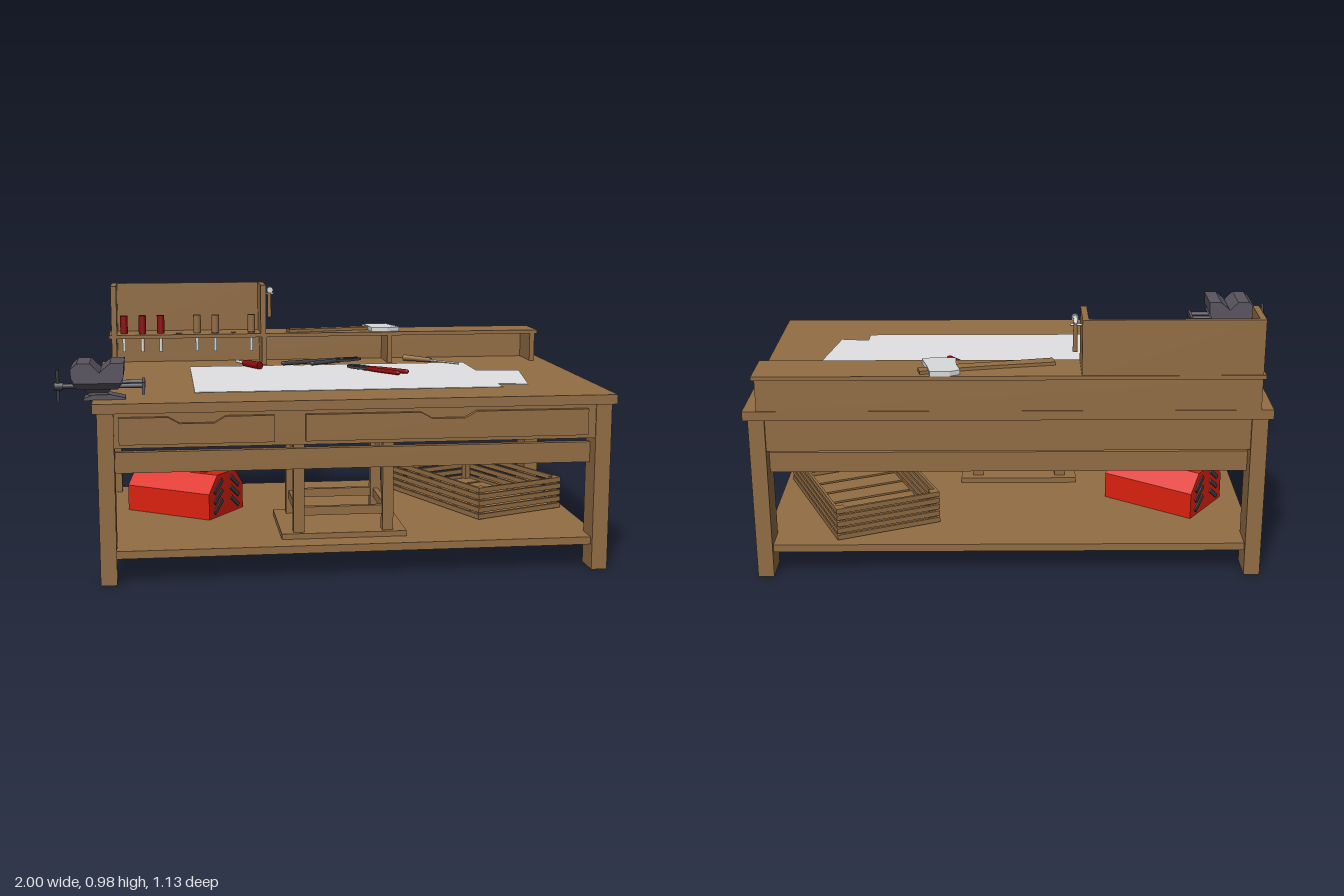
import * as THREE from 'three';

const mat = (name, color) => Object.assign(new THREE.MeshStandardMaterial({ color }), { name });
const wood = mat('wood', 0x926d44);
const red = mat('toolboxRed', 0xdc200e);
const grip = mat('gripRed', 0x8c0a0c);
const paper = mat('paper', 0xe2e2e4);
const steel = mat('steel', 0xd8dbdc);
const iron = mat('viseIron', 0x58545f);
const dark = mat('darkMetal', 0x3f4248);

function add(parent, name, geo, m) {
  const mesh = new THREE.Mesh(geo, m);
  mesh.name = name;
  parent.add(mesh);
  return mesh;
}
// Box given by its limits on each axis
function box(parent, name, m, x0, x1, y0, y1, z0, z1) {
  const mesh = add(parent, name, new THREE.BoxGeometry(x1 - x0, y1 - y0, z1 - z0), m);
  mesh.position.set((x0 + x1) / 2, (y0 + y1) / 2, (z0 + z1) / 2);
  return mesh;
}
// Cylinder from point a to point b
function rod(parent, name, m, a, b, ra, rb = ra, sides = 10) {
  const p = new THREE.Vector3(...a), q = new THREE.Vector3(...b);
  const mesh = add(parent, name, new THREE.CylinderGeometry(rb, ra, p.distanceTo(q), sides), m);
  mesh.position.copy(p).add(q).multiplyScalar(0.5);
  mesh.quaternion.setFromUnitVectors(new THREE.Vector3(0, 1, 0), q.sub(p).normalize());
  return mesh;
}
const extrude = (shape, depth) => new THREE.ExtrudeGeometry(shape, { depth, bevelEnabled: false });
const outline = pts => new THREE.Shape(pts.map(p => new THREE.Vector2(...p)));
// Plate lying flat, outlined by [x, z] points
function plate(parent, name, m, pts, y, h, holes = []) {
  const shape = outline(pts.map(([x, z]) => [x, -z]));
  for (const [x, z, r] of holes) shape.holes.push(new THREE.Path().absarc(x, -z, r, 0, Math.PI * 2, true));
  const mesh = add(parent, name, extrude(shape, h).rotateX(-Math.PI / 2), m);
  mesh.position.y = y;
  return mesh;
}
// Upright profile in [x, y], extruded along z
function profile(parent, name, m, pts, z0, z1) {
  const mesh = add(parent, name, extrude(outline(pts), z1 - z0), m);
  mesh.position.z = z0;
  return mesh;
}
function group(parent, name, x = 0, y = 0, z = 0, ry = 0) {
  const g = new THREE.Group();
  g.name = name;
  g.position.set(x, y, z);
  g.rotation.y = ry;
  parent.add(g);
  return g;
}

function buildTable(root) {
  const g = group(root, 'table');
  box(g, 'tableTop', wood, -0.865, 1, 0.615, 0.65, -0.557, 0.565);
  for (const [x0, x1] of [[-0.85, -0.792], [0.927, 0.985]])
    for (const [z0, z1] of [[-0.54, -0.415], [0.44, 0.55]]) box(g, 'leg', wood, x0, x1, 0, 0.615, z0, z1);
  // aprons near the outside, rails set further in
  for (const [z0, z1] of [[-0.53, -0.5], [0.52, 0.545]]) box(g, 'apron', wood, -0.792, 0.927, 0.49, 0.615, z0, z1);
  for (const [z0, z1] of [[-0.48, -0.45], [0.46, 0.488]]) box(g, 'rail', wood, -0.792, 0.927, 0.39, 0.465, z0, z1);
  for (const x of [-0.84, 0.95]) box(g, 'sideApron', wood, x, x + 0.025, 0.49, 0.615, -0.415, 0.44);
  box(g, 'lowerShelf', wood, -0.83, 0.965, 0.09, 0.118, -0.52, 0.53);
  // drawer fronts with a finger notch in the upper edge
  for (const [x0, x1] of [[-0.775, -0.235], [-0.125, 0.895]]) {
    const c = (x0 + x1) / 2;
    profile(g, 'drawerFront', wood, [[x0, 0.505], [x1, 0.505], [x1, 0.6], [c + 0.1, 0.6],
      [c + 0.06, 0.577], [c - 0.06, 0.577], [c - 0.1, 0.6], [x0, 0.6]], 0.545, 0.565);
  }
}

function buildRack(root) {
  const g = group(root, 'toolRack');
  const slots = Array.from({ length: 8 }, (_, i) => -0.77 + 0.075 * i);
  plate(g, 'rackShelf', wood, [[-0.83, -0.38], [0.96, -0.38], [0.96, -0.562], [-0.83, -0.562]],
    0.765, 0.015, slots.map(x => [x, -0.435, 0.012]));
  box(g, 'lowerBack', wood, -0.82, 0.95, 0.65, 0.765, -0.555, -0.54);
  for (const x of [-0.82, -0.205, 0.32, 0.93]) box(g, 'divider', wood, x, x + 0.02, 0.65, 0.765, -0.54, -0.383);
  box(g, 'upperBack', wood, -0.8, -0.21, 0.78, 0.98, -0.558, -0.543);
  for (const x of [-0.82, -0.21]) box(g, 'upperSide', wood, x, x + 0.022, 0.78, 0.98, -0.558, -0.38);
  // screwdrivers and chisels standing in the holes
  slots.forEach((x, i) => {
    if (i === 3 || i === 6) return;
    rod(g, 'toolHandle', i < 3 ? grip : wood, [x, 0.782, -0.435], [x, 0.855, -0.435], 0.016);
    rod(g, 'toolShaft', steel, [x, 0.705, -0.435], [x, 0.785, -0.435], 0.007);
  });
  // small hammer hung on the side
  rod(g, 'hammerHandle', wood, [-0.167, 0.84, -0.47], [-0.167, 0.955, -0.47], 0.009, 0.007);
  rod(g, 'hammerHead', steel, [-0.167, 0.955, -0.432], [-0.167, 0.955, -0.445], 0.013);
  rod(g, 'hammerNeck', steel, [-0.167, 0.956, -0.44], [-0.167, 0.957, -0.48], 0.009);
  rod(g, 'hammerClaw', steel, [-0.167, 0.957, -0.478], [-0.167, 0.951, -0.507], 0.009, 0.004);
  rod(g, 'hammerHook', steel, [-0.192, 0.938, -0.47], [-0.15, 0.938, -0.47], 0.004);
  // axe lying on the shelf
  plate(g, 'axeHandle', wood, [[-0.1, -0.445], [0.1, -0.48], [0.25, -0.51], [0.375, -0.545], [0.385, -0.505],
    [0.26, -0.465], [0.1, -0.435], [-0.09, -0.395]], 0.781, 0.012);
  plate(g, 'axeHead', steel, [[0.235, -0.54], [0.27, -0.56], [0.34, -0.56], [0.355, -0.49], [0.375, -0.415],
    [0.32, -0.395], [0.255, -0.405], [0.25, -0.48]], 0.78, 0.017);
}

// Pliers with the pivot at the origin, the jaws towards -x and two handle lengths
function buildPliers(root, name, x, z, angle, handleMat, lengths, jaw, open) {
  const g = group(root, name, x, 0.662, z, angle);
  g.scale.y = 0.75;
  lengths.forEach((length, s) => {
    const half = group(g, 'pliersHalf');
    half.rotation.set(s * Math.PI, s ? -open : open, 0, 'YXZ');
    plate(half, 'jaw', dark, [[0.03, -0.014], [0.025, 0.014], [0, 0.022], [-jaw * 0.4, 0.03],
      [-jaw, 0.014], [-jaw, 0.003], [-jaw * 0.4, 0.006], [-0.01, -0.012]], -0.007, 0.014);
    const path = new THREE.CatmullRomCurve3([[0.015, -0.008], [length * 0.35, -0.018], [length * 0.7, -0.022],
      [length, -0.026]].map(([px, pz]) => new THREE.Vector3(px, 0, pz)));
    add(half, 'handle', new THREE.TubeGeometry(path, 10, 0.012, 8), handleMat);
    const end = add(half, 'handleEnd', new THREE.SphereGeometry(0.012, 8, 6), handleMat);
    end.position.set(length, 0, -0.026);
  });
  rod(g, 'pivot', dark, [0, -0.011, 0], [0, 0.011, 0], 0.014);
}

function buildTableItems(root) {
  const g = group(root, 'tableItems');
  // large sheet with the corner of a second one sticking out
  plate(g, 'paperSheets', paper, [[-0.505, -0.345], [0.635, -0.345], [0.635, -0.105], [0.805, -0.08],
    [0.745, 0.285], [0.635, 0.27], [0.635, 0.345], [-0.505, 0.345]], 0.65, 0.002);
  buildPliers(g, 'redPliers', 0.195, -0.15, -0.86, grip, [0.185, 0.185], 0.09, 0);
  buildPliers(g, 'darkPliers', 0.11, -0.4, -2.705, dark, [0.14, 0.24], 0.11, 0.03);
  rod(g, 'screwdriverHandle', grip, [-0.282, 0.666, -0.325], [-0.225, 0.666, -0.238], 0.013, 0.016);
  rod(g, 'screwdriverShaft', steel, [-0.31, 0.666, -0.385], [-0.28, 0.666, -0.322], 0.006);
  rod(g, 'awlHandle', wood, [0.4, 0.664, -0.435], [0.5, 0.662, -0.355], 0.013, 0.009);
  rod(g, 'awlShaft', steel, [0.49, 0.662, -0.36], [0.6, 0.657, -0.275], 0.004);
}

function buildVise(root) {
  const g = group(root, 'vise');
  profile(g, 'outerJaw', iron, [[-0.925, 0.715], [-0.845, 0.715], [-0.835, 0.75], [-0.87, 0.785], [-0.915, 0.785],
    [-0.937, 0.765], [-0.935, 0.735]], 0.345, 0.518);
  profile(g, 'innerJaw', iron, [[-0.845, 0.715], [-0.765, 0.715], [-0.755, 0.735], [-0.752, 0.785], [-0.8, 0.785],
    [-0.835, 0.755]], 0.345, 0.518);
  // body chamfered below, stepping down to a narrow stem and a foot
  for (const [top, bottom, h, y] of [[0.122, 0.098, 0.024, 0.703], [0.072, 0.05, 0.016, 0.684]])
    add(g, 'viseBody', new THREE.CylinderGeometry(top, bottom, h, 4, 1).rotateY(Math.PI / 4), iron).position.set(-0.845, y, 0.431);
  box(g, 'viseStem', iron, -0.88, -0.81, 0.665, 0.69, 0.4, 0.462);
  profile(g, 'viseFoot', iron, [[-0.895, 0.648], [-0.75, 0.648], [-0.75, 0.656], [-0.8, 0.668], [-0.86, 0.668],
    [-0.895, 0.656]], 0.395, 0.467);
  // screw, guide rods, end plate and turning bar
  rod(g, 'viseScrew', dark, [-0.995, 0.695, 0.431], [-0.68, 0.695, 0.431], 0.009);
  for (const z of [0.385, 0.477]) rod(g, 'guideRod', iron, [-0.85, 0.7, z], [-0.68, 0.7, z], 0.008);
  box(g, 'endPlate', iron, -0.692, -0.682, 0.67, 0.712, 0.37, 0.492);
  rod(g, 'turningBar', dark, [-0.985, 0.637, 0.42], [-0.985, 0.755, 0.442], 0.006);
  rod(g, 'screwHub', dark, [-0.998, 0.695, 0.431], [-0.967, 0.695, 0.431], 0.014);
}

function buildToolbox(root) {
  const g = group(root, 'toolbox', -0.535, 0.118, -0.095, -0.6);
  const half = 0.188;
  const body = extrude(outline([[-0.125, 0], [0.125, 0], [0.125, 0.1], [0.065, 0.165], [-0.065, 0.165], [-0.125, 0.1]]), half * 2);
  add(g, 'toolboxBody', body.translate(0, 0, -half).rotateY(Math.PI / 2), red);
  // folding links on both ends
  for (const s of [-1, 1])
    for (const side of [-1, 1])
      for (let i = 0; i < 3; i++) {
        const y = 0.04 + i * 0.04, z = side * 0.06;
        const link = box(g, 'foldingLink', dark, s * half - 0.005, s * half + 0.005, y - 0.008, y + 0.008, z - 0.036, z + 0.036);
        link.rotation.x = side * 0.65;
      }
  // carrying handle
  for (const s of [-1, 1]) {
    rod(g, 'handlePost', dark, [s * 0.1, 0.162, 0], [s * 0.075, 0.19, 0], 0.018, 0.015);
    box(g, 'handleFoot', dark, s * 0.1 - 0.02, s * 0.1 + 0.02, 0.163, 0.169, -0.04, 0.04);
  }
  box(g, 'handleBar', dark, -0.085, 0.085, 0.178, 0.197, -0.018, 0.018);
}

// Stool resting upside down on its seat
function buildStool(root) {
  const g = group(root, 'stool');
  box(g, 'stoolSeat', wood, -0.2, 0.26, 0.118, 0.138, 0.05, 0.435);
  for (const x of [-0.155, 0.173]) {
    for (const z of [0.08, 0.375]) box(g, 'stoolLeg', wood, x, x + 0.04, 0.138, 0.492, z, z + 0.04);
    box(g, 'stoolSideRail', wood, x + 0.01, x + 0.03, 0.195, 0.228, 0.12, 0.375);
    box(g, 'stoolUpperRail', wood, x + 0.01, x + 0.03, 0.412, 0.432, 0.12, 0.375);
  }
  for (const z of [0.09, 0.385]) box(g, 'stoolCrossRail', wood, -0.115, 0.173, 0.198, 0.23, z, z + 0.02);
}

function buildCrate(root) {
  const g = group(root, 'crate', 0.635, 0.118, -0.124, 0.408);
  const w = 0.2, d = 0.312, t = 0.01;
  for (let i = 0; i < 5; i++) {
    const y = 0.004 + i * 0.026, top = y + 0.019;
    for (const s of [-1, 1]) {
      box(g, 'endSlat', wood, -w, w, y, top, s * (d - t / 2) - t / 2, s * (d - t / 2) + t / 2);
      box(g, 'sideSlat', wood, s * (w - t / 2) - t / 2, s * (w - t / 2) + t / 2, y, top, -d + t, d - t);
    }
  }
  for (const sx of [-1, 1])
    for (const sz of [-1, 1])
      box(g, 'cornerPost', wood, sx * (w - 0.022) - 0.012, sx * (w - 0.022) + 0.012, 0, 0.127,
        sz * (d - 0.022) - 0.012, sz * (d - 0.022) + 0.012);
  for (let i = 0; i < 6; i++) {
    const z = -d + 0.02 + i * 0.1;
    box(g, 'floorSlat', wood, -w + t, w - t, 0.002, 0.012, z, z + 0.085);
  }
}

export function createModel() {
  const root = new THREE.Group();
  root.name = 'workbench';
  [buildTable, buildRack, buildTableItems, buildVise, buildToolbox, buildStool, buildCrate].forEach(build => build(root));
  return root;
}
